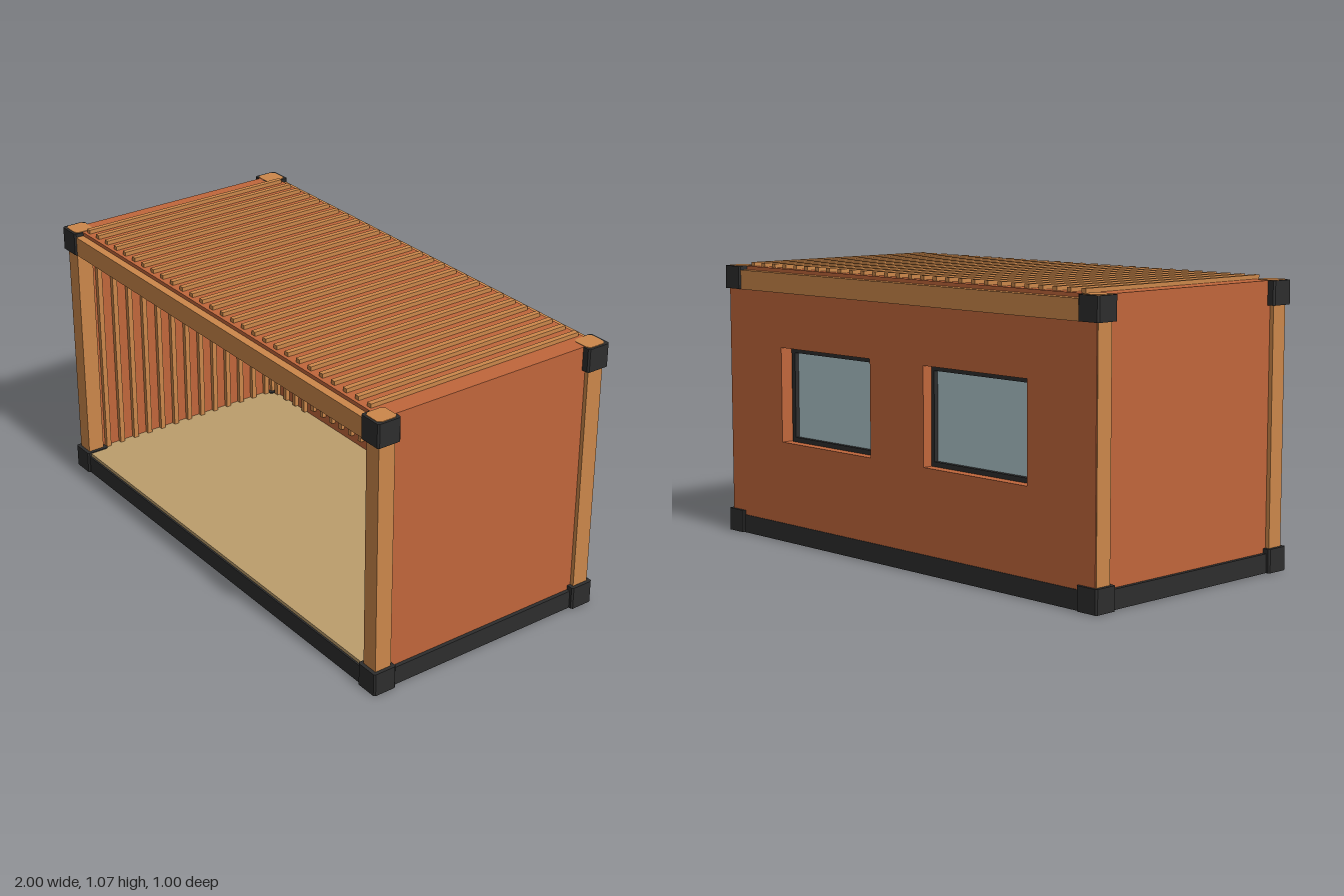
import * as THREE from 'three';

const mat = (name, color, extra = {}) => {
  const m = new THREE.MeshStandardMaterial({ color, ...extra });
  m.name = name;
  return m;
};

export function createModel() {
  const rust = mat('rust panel', 0xc0663b);
  const orange = mat('orange steel', 0xcb874a);
  const dark = mat('dark steel', 0x2d2d2d);
  const glass = mat('pale glass', 0xadc6cb);
  const wood = mat('plywood floor', 0xbb9d6c);

  const root = new THREE.Group();
  root.name = 'containerCabin';

  const add = (name, geometry, material, parent = root) => {
    const mesh = new THREE.Mesh(geometry, material);
    mesh.name = name;
    parent.add(mesh);
    return mesh;
  };
  // Box given by its limits on each axis
  const box = (name, x0, x1, y0, y1, z0, z1, material, parent = root) => {
    const mesh = add(name, new THREE.BoxGeometry(x1 - x0, y1 - y0, z1 - z0), material, parent);
    mesh.position.set((x0 + x1) / 2, (y0 + y1) / 2, (z0 + z1) / 2);
    return mesh;
  };
  const group = (name) => {
    const g = new THREE.Group();
    g.name = name;
    root.add(g);
    return g;
  };
  // Upright square block with chamfered vertical edges, resting on y = 0
  const chamferBlock = (size, cut, height) => {
    const h = size / 2, c = h - cut;
    const pts = [[h, -c], [h, c], [c, h], [-c, h], [-h, c], [-h, -c], [-c, -h], [c, -h]];
    const shape = new THREE.Shape(pts.map(([x, y]) => new THREE.Vector2(x, y)));
    return new THREE.ExtrudeGeometry(shape, { depth: height, bevelEnabled: false }).rotateX(-Math.PI / 2);
  };
  const rectangle = (x0, x1, y0, y1, Type = THREE.Shape) =>
    new Type([[x0, y0], [x1, y0], [x1, y1], [x0, y1]].map(([x, y]) => new THREE.Vector2(x, y)));

  // Base and floor
  box('base', -0.985, 0.985, 0.002, 0.073, -0.492, 0.492, dark);
  box('floor', -0.95, 0.95, 0.073, 0.086, -0.46, 0.485, wood);

  // Roof plate with cross ribs
  box('roof', -0.97, 0.97, 1.025, 1.054, -0.463, 0.463, rust);
  const ribCount = 28, ribPitch = 0.0656;
  const ribOffset = (i, n) => (i - (n - 1) / 2) * ribPitch;
  const roofRibs = group('roofRibs');
  for (let i = 0; i < ribCount; i++) {
    const x = ribOffset(i, ribCount);
    box('roofRib', x - 0.01, x + 0.01, 1.05, 1.069, -0.45, 0.45, orange, roofRibs);
  }

  // Long top beams
  box('frontTopBeam', -0.93, 0.93, 0.965, 1.04, 0.458, 0.494, orange);
  box('backTopBeam', -0.93, 0.93, 0.965, 1.04, -0.494, -0.458, orange);

  // Posts with corner castings
  const castingGeometry = chamferBlock(0.094, 0.006, 0.088);
  const capGeometry = chamferBlock(0.08, 0.012, 0.003);
  const footGeometry = new THREE.CylinderGeometry(0.022, 0.022, 0.004, 20);
  for (const sx of [-1, 1]) {
    for (const sz of [-1, 1]) {
      const corner = group(`${sz > 0 ? 'front' : 'back'}${sx > 0 ? 'Left' : 'Right'}Corner`);
      corner.position.set(sx * 0.953, 0, sz * 0.453);
      box('post', -0.033, 0.033, 0.05, 1.0, -0.033, 0.033, orange, corner);
      add('lowerCasting', castingGeometry, dark, corner).position.y = 0.002;
      add('upperCasting', castingGeometry, dark, corner).position.y = 0.966;
      add('castingCap', capGeometry, orange, corner).position.set(-sx * 0.002, 1.053, -sz * 0.002);
      add('castingFoot', footGeometry, orange, corner).position.y = 0.002;
    }
  }

  // End walls with ribs on the inside
  const sideCount = 13;
  for (const s of [-1, 1]) {
    const wall = group(s > 0 ? 'leftWall' : 'rightWall');
    const inner = s * 0.935, outer = s * 0.97, rib = s * 0.918;
    box('wallPanel', Math.min(inner, outer), Math.max(inner, outer), 0.07, 1.03, -0.435, 0.43, rust, wall);
    for (let i = 0; i < sideCount; i++) {
      const z = ribOffset(i, sideCount);
      box('wallRib', Math.min(rib, inner), Math.max(rib, inner), 0.086, 1.025, z - 0.01, z + 0.01, orange, wall);
    }
  }

  // Back wall with two window openings
  const winBottom = 0.39, winTop = 0.755;
  const backShape = rectangle(-0.983, 0.983, 0.072, 0.968);
  backShape.holes.push(
    rectangle(-0.665, -0.145, winBottom, winTop, THREE.Path),
    rectangle(0.145, 0.665, winBottom, winTop, THREE.Path));
  const backWall = group('backWall');
  add('backPanel', new THREE.ExtrudeGeometry(backShape, { depth: 0.054, bevelEnabled: false }), rust, backWall)
    .position.z = -0.489;
  box('backWallHeader', -0.95, 0.95, 0.966, 1.027, -0.46, -0.435, rust, backWall);
  for (let i = 0; i < ribCount; i++) {
    const x = ribOffset(i, ribCount);
    const atWindow = Math.abs(x) > 0.145 && Math.abs(x) < 0.64;
    const spans = atWindow ? [[0.12, winBottom], [winTop, 1.025]] : [[0.09, 1.025]];
    for (const [y0, y1] of spans) {
      box('backRib', x - 0.01, x + 0.01, y0, y1, -0.437, -0.418, orange, backWall);
    }
  }

  // Windows, set toward the inside of the wall
  for (const s of [-1, 1]) {
    const win = group(s > 0 ? 'leftWindow' : 'rightWindow');
    const x0 = s > 0 ? 0.14 : -0.65, x1 = x0 + 0.51;
    const frame = rectangle(x0, x1, winBottom - 0.002, winTop + 0.002);
    frame.holes.push(rectangle(x0 + 0.02, x1 - 0.02, winBottom + 0.018, winTop - 0.02, THREE.Path));
    add('windowFrame', new THREE.ExtrudeGeometry(frame, { depth: 0.045, bevelEnabled: false }), dark, win)
      .position.z = -0.45;
    box('windowGlass', x0 + 0.015, x1 - 0.015, winBottom + 0.01, winTop - 0.01, -0.433, -0.425, glass, win);
    const mid = (x0 + x1) / 2;
    box('windowMullion', mid - 0.008, mid + 0.008, winBottom + 0.015, winTop - 0.015, -0.426, -0.415, glass, win);
  }

  return root;
}
